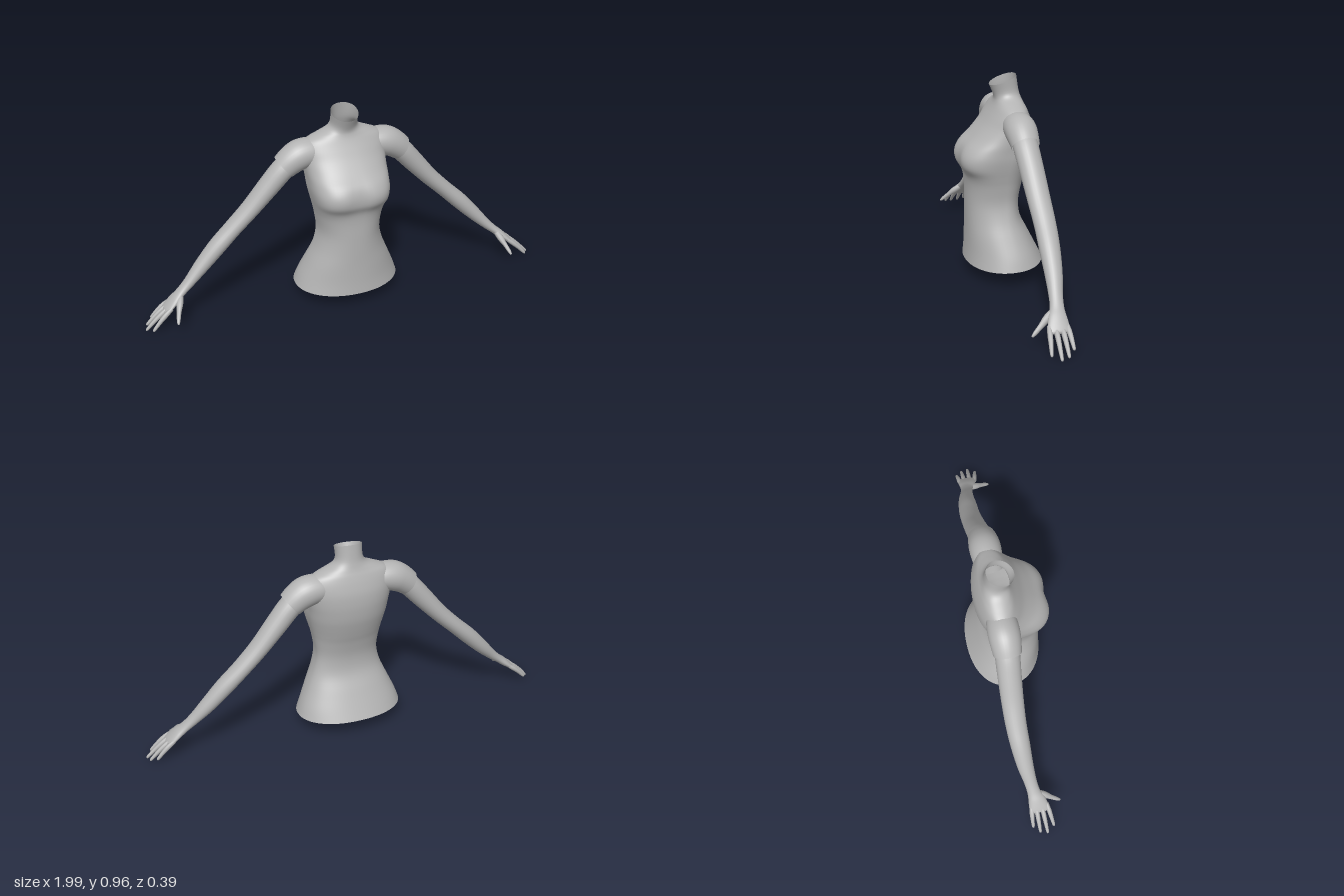
import * as THREE from 'three';

const skin = new THREE.MeshStandardMaterial({ color: 0xb4b4b4, side: THREE.DoubleSide });
skin.name = 'plain grey';

// Smooth curve through rows of numbers, sampled "steps" times per span
function refine(rows, steps) {
  const out = [];
  for (let i = 0; i < rows.length - 1; i++) {
    const [a, b, c, d] = [rows[Math.max(i - 1, 0)], rows[i], rows[i + 1], rows[Math.min(i + 2, rows.length - 1)]];
    for (let k = 0; k < steps; k++) {
      const t = k / steps;
      out.push(b.map((p, j) => p + 0.5 * t * (c[j] - a[j] +
        t * (2 * a[j] - 5 * p + 4 * c[j] - d[j] + t * (3 * (p - c[j]) + d[j] - a[j])))));
    }
  }
  out.push(rows[rows.length - 1]);
  return out;
}

// Skin over closed rings of points
function loft(rings, flip = false) {
  const n = rings[0].length, index = [];
  for (let v = 0; v < rings.length - 1; v++) {
    for (let u = 0; u < n; u++) {
      const a = v * n + u, b = a + n, c = v * n + (u + 1) % n, d = c + n;
      if (flip) index.push(a, c, b, b, c, d);
      else index.push(a, b, c, b, d, c);
    }
  }
  const g = new THREE.BufferGeometry();
  g.setAttribute('position', new THREE.Float32BufferAttribute(rings.flat(2), 3));
  g.setIndex(index);
  g.computeVertexNormals();
  return g;
}

// Tube with elliptical sections; stations are x, y, z, in-plane radius, depth radius
function limb(name, stations, side, segments = 20, steps = 5) {
  const rows = refine(stations, steps);
  const at = i => new THREE.Vector3(...rows[Math.min(Math.max(i, 0), rows.length - 1)].slice(0, 3));
  const rings = rows.map((r, i) => {
    const t = at(i + 1).sub(at(i - 1)).normalize();
    const n = new THREE.Vector3(-t.y, t.x, 0).normalize();
    const s = n.clone().cross(t);
    return Array.from({ length: segments }, (_, u) => {
      const a = u / segments * Math.PI * 2;
      const p = at(i).addScaledVector(n, r[3] * Math.cos(a)).addScaledVector(s, r[4] * Math.sin(a));
      return [p.x * side, p.y, p.z];
    });
  });
  const m = new THREE.Mesh(loft(rings, side < 0), skin);
  m.name = name;
  return m;
}

// Torso rows: height, half width, front z, back z, widest z, front squareness, tilt
const torsoRows = [
  [0.083, 0.255, 0.166, -0.195, -0.02, 2.1, -0.008],
  [0.14, 0.235, 0.162, -0.168, -0.02, 2.1, -0.004],
  [0.22, 0.2, 0.16, -0.13, -0.01, 2.2, 0],
  [0.3, 0.167, 0.16, -0.092, 0, 2.2, 0],
  [0.38, 0.15, 0.16, -0.085, 0, 2.3, 0],
  [0.46, 0.158, 0.16, -0.1, 0, 2.5, 0],
  [0.51, 0.168, 0.168, -0.115, 0, 2.8, 0],
  [0.555, 0.178, 0.193, -0.128, -0.005, 3.2, 0],
  [0.6, 0.186, 0.197, -0.139, -0.015, 3.1, 0],
  [0.645, 0.19, 0.176, -0.145, -0.028, 2.8, 0],
  [0.69, 0.195, 0.13, -0.147, -0.04, 2.5, 0],
  [0.74, 0.2, 0.085, -0.143, -0.047, 2.3, 0],
  [0.785, 0.2, 0.054, -0.131, -0.047, 2.2, 0],
  [0.82, 0.18, 0.033, -0.118, -0.046, 2.1, 0],
  [0.843, 0.13, 0.023, -0.108, -0.044, 2, 0],
  [0.863, 0.083, 0.021, -0.1, -0.04, 2, -0.003],
  [0.89, 0.063, 0.027, -0.092, -0.034, 2, -0.008],
  [0.942, 0.063, 0.043, -0.082, -0.02, 2, -0.022],
];

function torsoRings() {
  const spow = (v, e) => Math.sign(v) * Math.abs(v) ** e;
  return refine(torsoRows, 4).map(([y, hw, zf, zb, zc, nf, tilt]) =>
    Array.from({ length: 64 }, (_, u) => {
      const a = u / 64 * Math.PI * 2, c = Math.cos(a), s = Math.sin(a);
      const e = 2 / (s > 0 ? nf : 2.2);
      const x = hw * spow(c, e);
      let z = zc + (s > 0 ? zf - zc : zc - zb) * spow(s, e);
      // shallow hollow in the middle of the bust
      if (s > 0) z -= 0.012 * Math.exp(-((x / 0.045) ** 2) - ((y - 0.59) / 0.06) ** 2);
      return [x, y + tilt * (2 * z - zf - zb) / (zf - zb), z];
    }));
}

function createArm(side) {
  const arm = new THREE.Group();
  arm.name = side > 0 ? 'leftArm' : 'rightArm';
  // short sleeve, open at the cuff
  arm.add(limb('sleeve', [
    [0.1, 0.762, -0.046, 0.055, 0.06],
    [0.16, 0.762, -0.046, 0.066, 0.07],
    [0.21, 0.754, -0.046, 0.071, 0.073],
    [0.25, 0.734, -0.046, 0.067, 0.07],
    [0.289, 0.704, -0.047, 0.06, 0.064],
  ], side, 32));
  // upper arm, forearm and palm in one skin
  arm.add(limb('armAndPalm', [
    [0.22, 0.75, -0.046, 0.05, 0.055],
    [0.29, 0.695, -0.048, 0.052, 0.057],
    [0.36, 0.617, -0.053, 0.049, 0.055],
    [0.45, 0.515, -0.058, 0.042, 0.052],
    [0.54, 0.425, -0.06, 0.039, 0.049],
    [0.62, 0.347, -0.056, 0.04, 0.046],
    [0.7, 0.264, -0.049, 0.034, 0.039],
    [0.765, 0.198, -0.038, 0.025, 0.031],
    [0.81, 0.158, -0.03, 0.02, 0.031],
    [0.845, 0.129, -0.022, 0.019, 0.041],
    [0.88, 0.1, -0.017, 0.014, 0.047],
    [0.896, 0.087, -0.016, 0.009, 0.042],
    [0.9, 0.083, -0.016, 0.001, 0.02],
  ], side, 24));
  // four fingers: base z, then tip
  const tips = [
    [0.022, 0.967, 0.017, 0.04],
    [-0.004, 0.994, 0.006, 0.004],
    [-0.031, 0.985, 0.012, -0.03],
    [-0.054, 0.957, 0.029, -0.06],
  ];
  for (const [bz, x, y, z] of tips) {
    const bx = 0.868, by = 0.108;
    const row = (t, r) => [bx + (x - bx) * t, by + (y - by) * t + 0.006 * Math.sin(t * Math.PI), bz + (z - bz) * t, r, r];
    arm.add(limb('finger', [row(0, 0.009), row(0.3, 0.0115), row(0.6, 0.01), row(0.9, 0.0075), row(0.98, 0.005), row(1, 0.0005)], side, 10, 3));
  }
  arm.add(limb('thumb', [
    [0.815, 0.152, -0.018, 0.012, 0.014],
    [0.829, 0.127, 0.017, 0.016, 0.017],
    [0.842, 0.1, 0.048, 0.011, 0.012],
    [0.853, 0.075, 0.077, 0.009, 0.009],
    [0.857, 0.063, 0.09, 0.005, 0.005],
    [0.858, 0.061, 0.092, 0.0005, 0.0005],
  ], side, 10, 3));
  return arm;
}

export function createModel() {
  const model = new THREE.Group();
  model.name = 'upperBody';

  // torso and neck, open at the neck
  const rings = torsoRings();
  const torso = new THREE.Mesh(loft(rings), skin);
  torso.name = 'torso';
  model.add(torso);

  // flat waist cut
  const centre = rings[0].map(() => [0, 0.083, -0.015]);
  const base = new THREE.Mesh(loft([centre, rings[0]]), skin);
  base.name = 'waistCap';
  model.add(base);

  for (const side of [1, -1]) model.add(createArm(side));
  return model;
}
